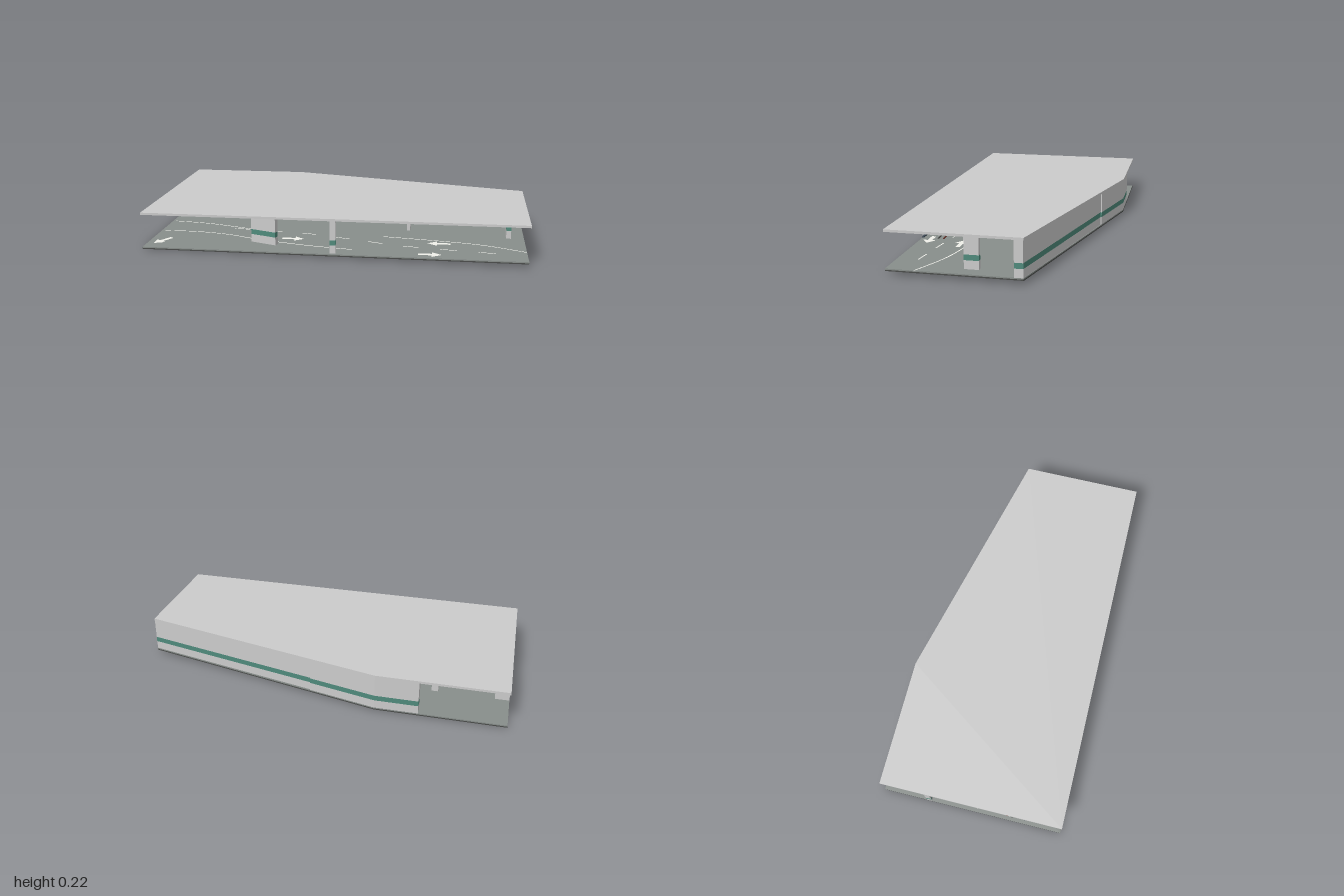
import * as THREE from 'three';

const mat = (color, side = THREE.FrontSide) => new THREE.MeshStandardMaterial({ color, side, flatShading: true });
const concrete = mat(0xcccccc);
const asphalt = mat(0x888e8b);
const dark = mat(0x4a4c4a);
const green = mat(0x4f8a7b);
const paint = mat(0xf0f0ea, THREE.DoubleSide);
const red = mat(0x6a3028);
const blue = mat(0x3c4854);

// Everything is laid out level, then sheared so the deck climbs towards +x.
const SLOPE = 0.01;
const FLOOR = 0.022, CEILING = 0.198;
const BAND = [0.065, 0.0925];

function add(parent, name, geometry, material) {
  const p = geometry.attributes.position;
  for (let i = 0; i < p.count; i++) p.setY(i, p.getY(i) + SLOPE * p.getX(i));
  geometry.computeVertexNormals();
  const mesh = new THREE.Mesh(geometry, material);
  mesh.name = name;
  parent.add(mesh);
}

function shapeOf(points) {
  return new THREE.Shape(points.map(([x, z]) => new THREE.Vector2(x, -z)));
}

// Upright prism from a plan outline of [x, z] points
function prism(points, y0, y1) {
  return new THREE.ExtrudeGeometry(shapeOf(points), { depth: y1 - y0, bevelEnabled: false })
    .rotateX(-Math.PI / 2).translate(0, y0, 0);
}

function box(x0, x1, y0, y1, z0, z1) {
  return new THREE.BoxGeometry(x1 - x0, y1 - y0, z1 - z0)
    .translate((x0 + x1) / 2, (y0 + y1) / 2, (z0 + z1) / 2);
}

const rect = (x0, x1, z0, z1) => [[x0, z0], [x0, z1], [x1, z1], [x1, z0]];

// Upright concrete part with a painted stripe round it
function striped(parent, name, points) {
  const group = new THREE.Group();
  group.name = name;
  add(group, name + 'Lower', prism(points, FLOOR, BAND[0]), concrete);
  add(group, name + 'Stripe', prism(points, BAND[0], BAND[1]), green);
  add(group, name + 'Upper', prism(points, BAND[1], CEILING), concrete);
  parent.add(group);
}

// Flat painted ribbon along part of a curve
function ribbon(parent, name, curve, t0, t1, width = 0.007) {
  const left = [], right = [], steps = 16;
  for (let i = 0; i <= steps; i++) {
    const t = t0 + (t1 - t0) * i / steps;
    const c = curve.getPointAt(t), d = curve.getTangentAt(t);
    left.push([c.x - d.y * width / 2, c.y + d.x * width / 2]);
    right.unshift([c.x + d.y * width / 2, c.y - d.x * width / 2]);
  }
  const g = new THREE.ShapeGeometry(shapeOf([...left, ...right]))
    .rotateX(-Math.PI / 2).translate(0, FLOOR + 0.0008, 0);
  add(parent, name, g, paint);
}

const path = (pts) => new THREE.SplineCurve(pts.map(([x, z]) => new THREE.Vector2(x, z)));

function arrow(parent, x, z, angle) {
  const pts = [[-0.06, -0.012], [0.01, -0.012], [0.01, -0.035], [0.06, 0], [0.01, 0.035], [0.01, 0.012], [-0.06, 0.012]];
  const g = new THREE.ShapeGeometry(shapeOf(pts))
    .rotateX(-Math.PI / 2).rotateY(angle).translate(x, FLOOR + 0.001, z);
  add(parent, 'laneArrow', g, paint);
}

export function createModel() {
  const model = new THREE.Group();
  model.name = 'parkingRamp';

  // Floor and roof slabs share one outline
  const outline = [[-1, 0.483], [1, 0.483], [1, -0.172], [-0.33, -0.487], [-1, -0.487]];
  add(model, 'floorBase', prism(outline, 0.01, 0.016), dark);
  add(model, 'floorSurface', prism(outline, 0.016, FLOOR), asphalt);
  add(model, 'roofSlab', prism(outline, CEILING, 0.21), concrete);

  // Rear wall: straight piece, bend, and a slightly recessed far piece
  const rearZ = (x) => -0.487 + (x + 0.33) * 0.315 / 1.33;
  const thick = 0.045, step = 0.006;
  striped(model, 'rearWall', [
    [-0.555, -0.487], [-0.555, -0.487 + thick], [-0.34, -0.487 + thick],
    [0.03, rearZ(0.03) + thick], [0.03, rearZ(0.03)], [-0.33, -0.487]]);
  striped(model, 'recessedRearWall', [
    [0.03, rearZ(0.03) + step], [0.03, rearZ(0.03) + thick],
    [1, rearZ(1) + thick], [1, rearZ(1) + 0.002]]);

  // Columns between the lanes and at the edges
  const columns = [
    [0.905, 0.93, 0.053, 0.125],
    [0.368, 0.385, -0.035, 0.045],
    [-0.185, -0.163, -0.172, -0.1],
    [-0.63, -0.595, -0.25, -0.2],
    [-1, -0.925, -0.25, -0.222],
    [0.0, 0.03, 0.44, 0.47],
  ];
  for (const c of columns) striped(model, 'column', rect(...c));
  striped(model, 'angledPier', [[-0.305, 0.38], [-0.297, 0.356], [-0.44, 0.307], [-0.447, 0.331]]);

  // Services under the ceiling
  add(model, 'cableTray', box(-1, 1, 0.183, 0.188, 0.287, 0.296), blue);
  for (const [z, m] of [[0.22, dark], [0.195, red]]) {
    const pipe = new THREE.CylinderGeometry(0.003, 0.003, 2, 8).rotateZ(Math.PI / 2).translate(0, 0.184, z);
    add(model, 'pipe', pipe, m);
  }

  // Hanging direction sign
  add(model, 'signBoard', box(0.438, 0.522, 0.157, 0.182, 0.086, 0.094), green);
  add(model, 'signPanel', box(0.468, 0.492, 0.166, 0.173, 0.094, 0.0948), paint);
  for (const x of [0.45, 0.51]) add(model, 'signHanger', box(x - 0.002, x + 0.002, 0.182, CEILING, 0.088, 0.092), dark);

  // Lane markings
  const edge = path([[-0.98, 0.2], [-0.79, 0.2], [-0.6, 0.23], [-0.43, 0.29], [-0.15, 0.36], [0.11, 0.4]]);
  ribbon(model, 'laneEdge', edge, 0, 1);
  ribbon(model, 'laneEdge', path([[0.25, 0.17], [0.6, 0.217], [0.8, 0.26], [1, 0.341]]), 0, 1);
  ribbon(model, 'laneEdge', path([[-0.98, 0.02], [-0.75, 0.05], [-0.5, 0.12]]), 0, 1);
  const centre = path([[-0.6, 0.12], [-0.2, 0.16], [0.1, 0.24], [0.4, 0.32], [0.95, 0.39]]);
  for (let i = 0; i < 8; i++) ribbon(model, 'laneDash', centre, i / 8, (i + 0.45) / 8);

  arrow(model, -0.93, 0.37, Math.PI + 1.0);
  arrow(model, -0.234, 0.26, 0);
  arrow(model, 0.55, 0.254, Math.PI);
  arrow(model, 0.51, 0.43, 0);

  return model;
}
